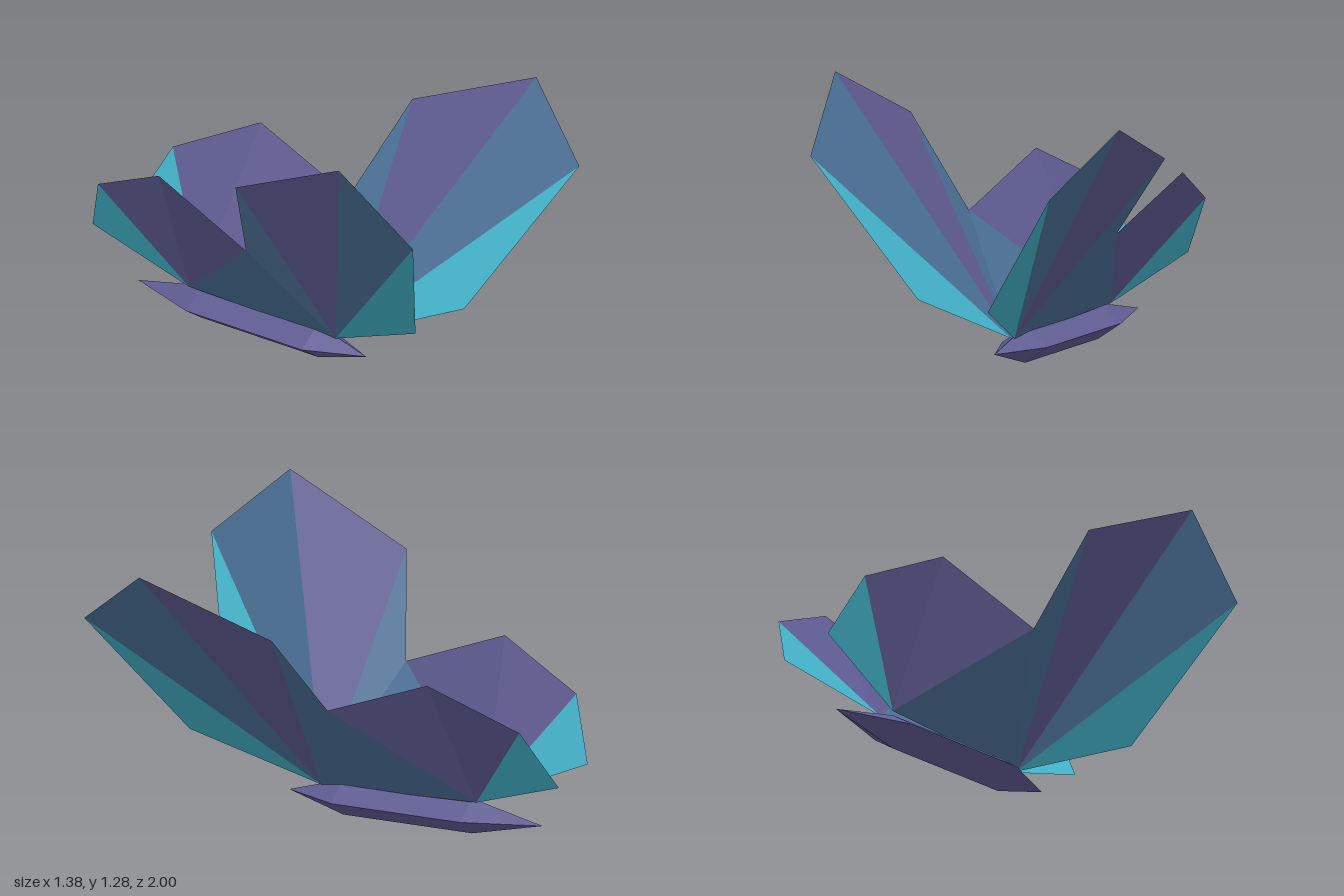
import * as THREE from 'three';

const paint = (name, color) => Object.assign(
  new THREE.MeshStandardMaterial({ color, flatShading: true, side: THREE.DoubleSide }), { name });

// Wing outline points: root front, four fore tips, notch, three hind tips, root back
const LEFT = {
  rootFront: [-0.09, 0.12, 0.2], foreLow: [0.09, 0.34, 0.73], foreTip: [0.545, 0.91, 0.995],
  foreTop: [0.69, 1.17, 0.66], foreBack: [0.58, 0.94, 0.09], notch: [0.28, 0.57, -0.02],
  hindTop: [0.315, 0.755, -0.51], hindBack: [0.205, 0.57, -0.89], hindTip: [0.055, 0.305, -1],
  rootBack: [-0.06, 0.15, -0.55],
};
// The right wing is raised a little higher than the left
const RIGHT = {
  rootFront: [-0.105, 0.12, 0.2], foreLow: [-0.25, 0.36, 0.73], foreTip: [-0.62, 0.985, 0.995],
  foreTop: [-0.695, 1.285, 0.66], foreBack: [-0.66, 1.02, 0.09], notch: [-0.44, 0.6, -0.02],
  hindTop: [-0.4, 0.79, -0.51], hindBack: [-0.32, 0.605, -0.89], hindTip: [-0.21, 0.34, -1],
  rootBack: [-0.135, 0.15, -0.55],
};

// Folded panels fan out from the two roots
const PANELS = [
  ['foreLeadingPanel', 'teal', ['rootFront', 'foreLow', 'foreTip']],
  ['foreTipPanel', 'blue', ['rootFront', 'foreTip', 'foreTop']],
  ['foreMainPanel', 'purple', ['rootFront', 'foreTop', 'foreBack']],
  ['foreRearPanel', 'blue', ['rootFront', 'foreBack', 'notch']],
  ['rootPanel', 'blue', ['rootFront', 'notch', 'rootBack']],
  ['hindFrontPanel', 'purple', ['rootBack', 'notch', 'hindTop']],
  ['hindMainPanel', 'purple', ['rootBack', 'hindTop', 'hindBack']],
  ['hindTrailingPanel', 'teal', ['rootBack', 'hindBack', 'hindTip']],
];

function makeWing(name, points, mats, flip) {
  const wing = new THREE.Group();
  wing.name = name;
  for (const [panelName, color, corners] of PANELS) {
    const order = flip ? [...corners].reverse() : corners;
    const geo = new THREE.BufferGeometry();
    geo.setAttribute('position',
      new THREE.Float32BufferAttribute(order.flatMap((c) => points[c]), 3));
    geo.computeVertexNormals();
    const panel = new THREE.Mesh(geo, mats[color]);
    panel.name = panelName;
    wing.add(panel);
  }
  return wing;
}

export function createModel() {
  const model = new THREE.Group();
  model.name = 'butterfly';
  const mats = {
    purple: paint('purple', 0x5f5c92),
    blue: paint('blue', 0x4a6f95),
    teal: paint('teal', 0x43b2c9),
  };

  // Body: a four-sided spindle lying along z
  const profile = [[0, -0.845], [1, -0.51], [1, 0.1], [0, 0.355]]
    .map(([r, z]) => new THREE.Vector2(r, z));
  const bodyGeo = new THREE.LatheGeometry(profile, 4);
  bodyGeo.rotateX(Math.PI / 2).scale(0.112, 0.077, 1).translate(-0.097, 0.077, 0);
  const body = new THREE.Mesh(bodyGeo, mats.purple);
  body.name = 'body';
  model.add(body);

  // Wings, with the upper surface as the front face
  model.add(makeWing('leftWing', LEFT, mats, false));
  model.add(makeWing('rightWing', RIGHT, mats, true));
  return model;
}
